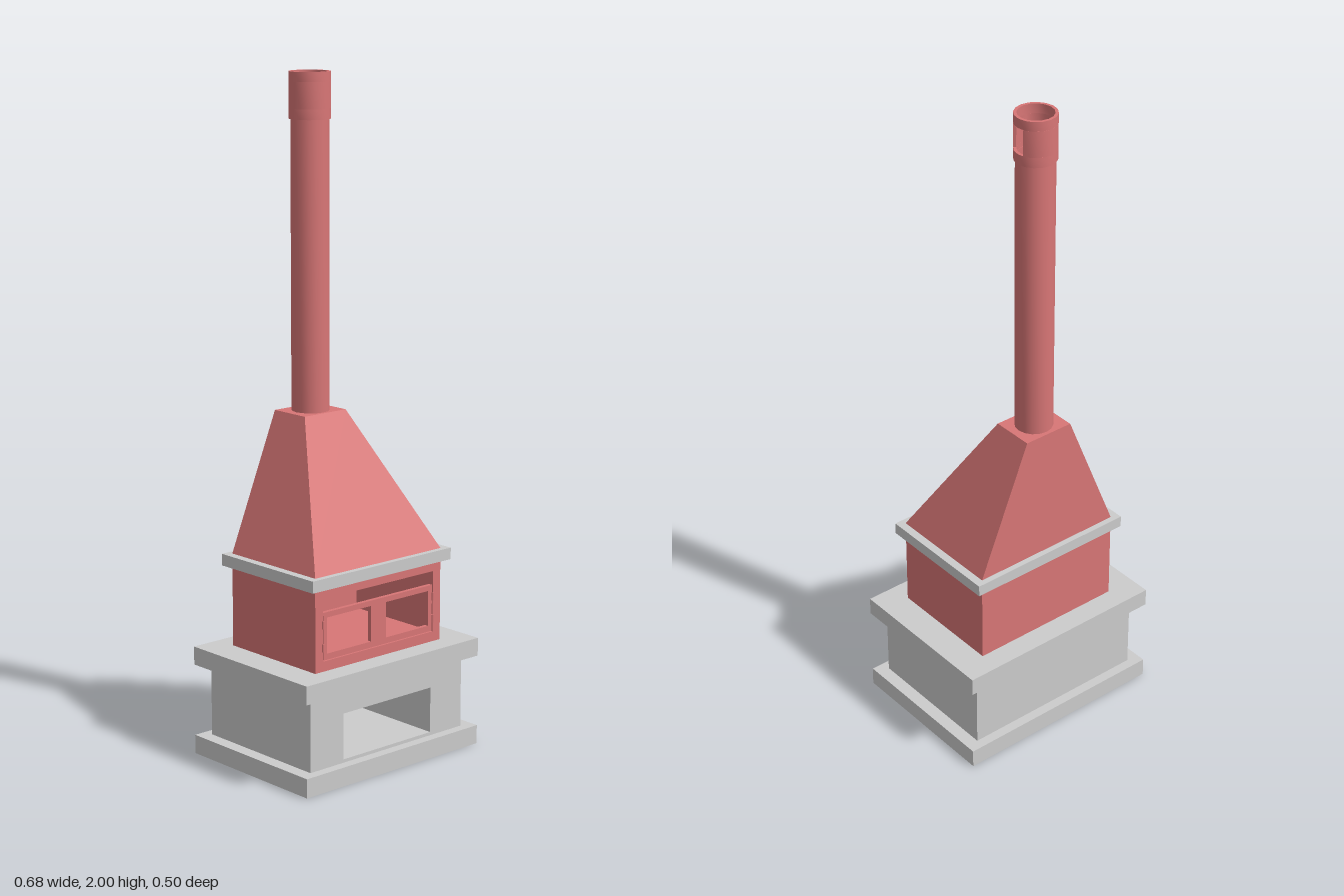
import * as THREE from 'three';
import { toCreasedNormals } from 'three/addons/utils/BufferGeometryUtils.js';

const stone = new THREE.MeshStandardMaterial({ color: 0xcccccc });
const metal = new THREE.MeshStandardMaterial({ color: 0xd87676 });
const thinMetal = new THREE.MeshStandardMaterial({ color: 0xd87676, side: THREE.DoubleSide });

const PIPE_Z = -0.115;

function add(parent, name, geometry, material) {
  const mesh = new THREE.Mesh(geometry, material);
  mesh.name = name;
  parent.add(mesh);
  return mesh;
}

function box(parent, name, material, x0, x1, y0, y1, z0, z1) {
  const g = new THREE.BoxGeometry(x1 - x0, y1 - y0, z1 - z0);
  g.translate((x0 + x1) / 2, (y0 + y1) / 2, (z0 + z1) / 2);
  return add(parent, name, g, material);
}

function rect(Type, [x0, x1, y0, y1]) {
  return new Type([[x0, y0], [x1, y0], [x1, y1], [x0, y1]].map(([x, y]) => new THREE.Vector2(x, y)));
}

// Block with rectangular openings running front to back
function pierced(parent, name, material, outer, holes, z0, z1) {
  const shape = rect(THREE.Shape, outer);
  shape.holes = holes.map((h) => rect(THREE.Path, h));
  const g = new THREE.ExtrudeGeometry(shape, { depth: z1 - z0, bevelEnabled: false });
  g.translate(0, 0, z0);
  return add(parent, name, g, material);
}

// Ring-shaped wall between two radii and heights, optionally only part of a turn
function ring(parent, name, r0, r1, y0, y1, start = 0, length = Math.PI * 2) {
  const profile = [[r0, y0], [r1, y0], [r1, y1], [r0, y1], [r0, y0]].map(([x, y]) => new THREE.Vector2(x, y));
  const g = new THREE.LatheGeometry(profile, 16, start, length);
  g.translate(0, 0, PIPE_Z);
  return add(parent, name, toCreasedNormals(g, 0.7), thinMetal);
}

export function createModel() {
  const model = new THREE.Group();
  model.name = 'fireplace';

  // Stone base with a log niche
  const base = new THREE.Group();
  base.name = 'base';
  model.add(base);
  box(base, 'plinth', stone, -0.34, 0.34, 0, 0.057, -0.25, 0.25);
  pierced(base, 'baseBody', stone, [-0.3, 0.3, 0.057, 0.275], [[-0.173, 0.173, 0.067, 0.205]], -0.19, 0.22);
  box(base, 'baseBack', stone, -0.3, 0.3, 0.057, 0.275, -0.22, -0.19);
  box(base, 'hearthSlab', stone, -0.34, 0.34, 0.275, 0.33, -0.25, 0.25);

  // Firebox, open at the front
  const firebox = new THREE.Group();
  firebox.name = 'firebox';
  model.add(firebox);
  pierced(firebox, 'fireboxWalls', metal, [-0.247, 0.247, 0.33, 0.575], [[-0.217, 0.217, 0.36, 0.545]], -0.15, 0.182);
  box(firebox, 'fireboxBack', metal, -0.247, 0.247, 0.33, 0.575, -0.182, -0.15);

  // Door with two windows and a gap above it
  pierced(firebox, 'door', metal, [-0.215, 0.215, 0.362, 0.503],
    [[-0.2, -0.03, 0.38, 0.487], [0.03, 0.2, 0.38, 0.487]], 0.167, 0.18);
  for (const side of [-1, 1]) {
    for (const y of [0.4, 0.468]) {
      const g = new THREE.CylinderGeometry(0.004, 0.004, 0.024, 8);
      g.translate(side * 0.217, y, 0.182);
      add(firebox, 'hinge', g, metal);
    }
  }

  box(model, 'mantelSlab', stone, -0.272, 0.272, 0.575, 0.61, -0.2, 0.2);

  // Hood: a block whose top is narrowed towards the upright back
  const hood = new THREE.BoxGeometry(0.494, 0.405, 0.364);
  hood.translate(0, 0.8125, 0);
  const p = hood.attributes.position;
  for (let i = 0; i < p.count; i++) {
    if (p.getY(i) < 0.8) continue;
    p.setX(i, Math.sign(p.getX(i)) * 0.08);
    if (p.getZ(i) > 0) p.setZ(i, -0.05);
  }
  hood.computeVertexNormals();
  add(model, 'hood', hood, metal);

  // Flue pipe and its collar, with a vent window on the left side
  const chimney = new THREE.Group();
  chimney.name = 'chimney';
  model.add(chimney);
  ring(chimney, 'pipe', 0.051, 0.056, 1.015, 1.88);
  const start = THREE.MathUtils.degToRad(47);
  const end = THREE.MathUtils.degToRad(106);
  ring(chimney, 'collarLower', 0.052, 0.061, 1.865, 1.895);
  ring(chimney, 'collarMiddle', 0.052, 0.061, 1.895, 1.972, end, Math.PI * 2 - (end - start));
  ring(chimney, 'collarUpper', 0.052, 0.061, 1.972, 2);
  // Side faces of the vent window
  for (const angle of [start, end]) {
    const g = new THREE.PlaneGeometry(0.009, 0.077);
    g.translate(0.0565, 1.9335, 0);
    g.rotateY(angle - Math.PI / 2);
    g.translate(0, 0, PIPE_Z);
    add(chimney, 'ventJamb', g, thinMetal);
  }

  return model;
}
